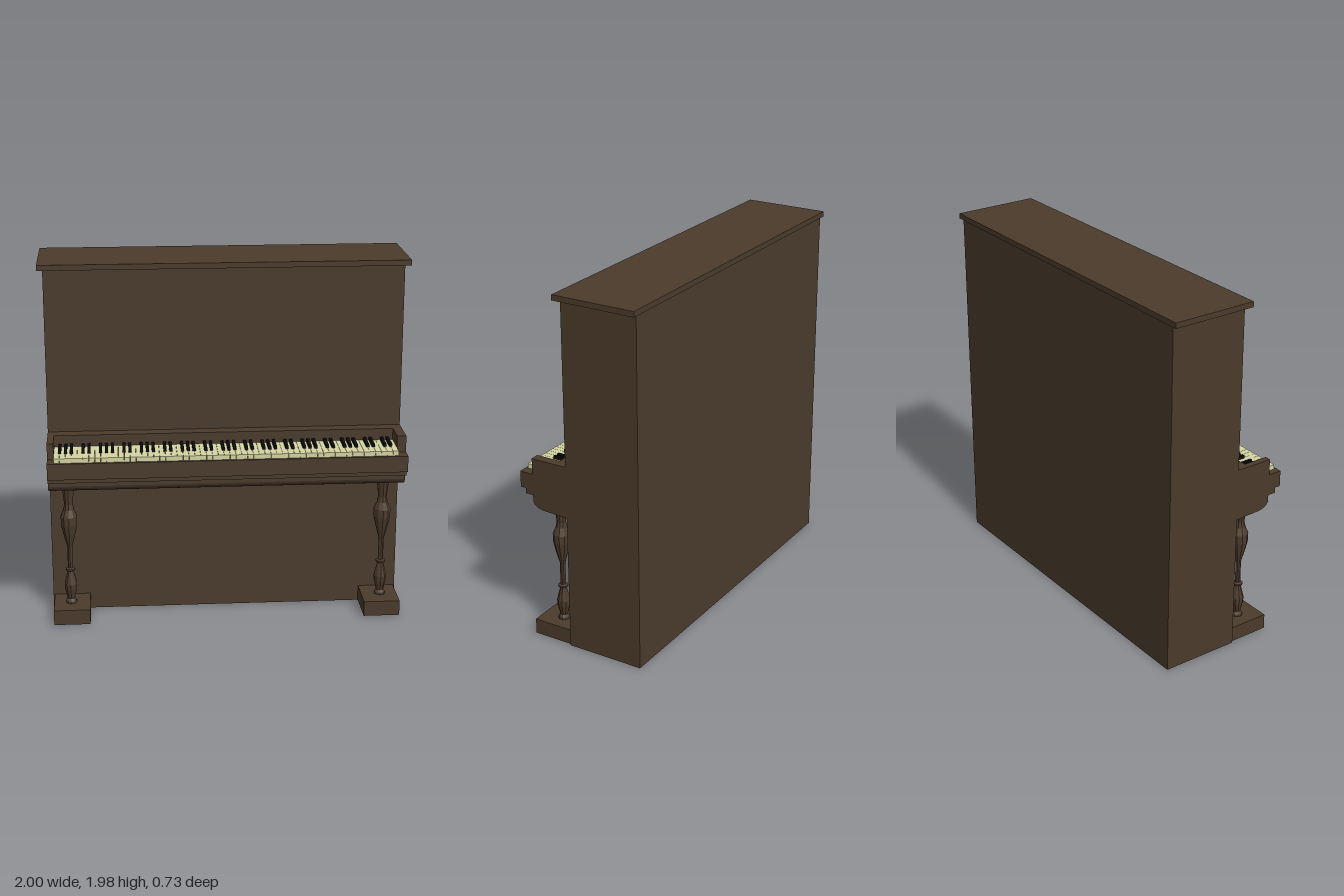
import * as THREE from 'three';

const wood = new THREE.MeshStandardMaterial({ color: 0x4b3b2c });
const ivory = new THREE.MeshStandardMaterial({ color: 0xd6d6a4 });
const ebony = new THREE.MeshStandardMaterial({ color: 0x0c0c0c });
const turned = new THREE.MeshStandardMaterial({ color: 0x4b3b2c, flatShading: true });

// Box given by its minimum and maximum on each axis
function box(name, material, [x0, x1], [y0, y1], [z0, z1]) {
  const mesh = new THREE.Mesh(new THREE.BoxGeometry(x1 - x0, y1 - y0, z1 - z0), material);
  mesh.position.set((x0 + x1) / 2, (y0 + y1) / 2, (z0 + z1) / 2);
  mesh.name = name;
  return mesh;
}

// Moulded shelf: side profile swept across the full width
function makeKeyBed() {
  const s = new THREE.Shape();
  s.moveTo(0.08, 0.76);
  s.lineTo(0.225, 0.765);
  s.bezierCurveTo(0.265, 0.77, 0.285, 0.782, 0.29, 0.805);
  s.lineTo(0.29, 0.84);
  s.lineTo(0.335, 0.84);
  s.lineTo(0.335, 0.87);
  s.lineTo(0.367, 0.87);
  s.lineTo(0.367, 0.96);
  s.lineTo(0.08, 0.96);
  s.closePath();
  const geo = new THREE.ExtrudeGeometry(s, { depth: 1.94, bevelEnabled: false, curveSegments: 6 });
  geo.rotateY(-Math.PI / 2).translate(0.97, 0, 0);
  const mesh = new THREE.Mesh(geo, wood);
  mesh.name = 'keyBed';
  return mesh;
}

// White keys side by side, black keys over the joints in groups of three and two
function makeKeyboard() {
  const keys = new THREE.Group();
  keys.name = 'keyboard';
  const left = -0.935, right = 0.92, count = 59, gap = 0.0006;
  const w = (right - left) / count;
  for (let i = 0; i < count; i++) {
    const x = left + i * w;
    keys.add(box('whiteKey', ivory, [x + gap, x + w - gap], [0.955, 0.986], [0.15, 0.353]));
    if (i < count - 1 && ![3, 6].includes(i % 7)) {
      keys.add(box('blackKey', ebony, [x + w - 0.008, x + w + 0.008], [0.975, 1.003], [0.15, 0.274]));
    }
  }
  return keys;
}

// Turned baluster leg
function makeLeg(side) {
  const profile = [
    [0, 0.08], [0.032, 0.08], [0.03, 0.1], [0.021, 0.115], [0.034, 0.17], [0.036, 0.2],
    [0.026, 0.24], [0.017, 0.275], [0.027, 0.281], [0.027, 0.291], [0.015, 0.297],
    [0.014, 0.42], [0.035, 0.5], [0.046, 0.55], [0.047, 0.6], [0.03, 0.64],
    [0.024, 0.67], [0.034, 0.765], [0, 0.765],
  ].map(([r, y]) => new THREE.Vector2(r, y));
  const leg = new THREE.Mesh(new THREE.LatheGeometry(profile, 10), turned);
  leg.position.set(side * 0.867, 0, 0.19);
  leg.name = side > 0 ? 'leftLeg' : 'rightLeg';
  return leg;
}

export function createModel() {
  const piano = new THREE.Group();
  piano.name = 'uprightPiano';

  // Case and lid
  piano.add(box('case', wood, [-0.97, 0.97], [0, 1.95], [-0.36, 0.08]));
  piano.add(box('lid', wood, [-1, 1], [1.95, 1.98], [-0.367, 0.11]));

  // Key bed, board behind the keys and end cheeks
  piano.add(makeKeyBed());
  piano.add(box('fallBoard', wood, [-0.935, 0.92], [0.96, 1.05], [0.08, 0.15]));
  piano.add(box('leftCheek', wood, [0.92, 0.97], [0.96, 1.05], [0.08, 0.29]));
  piano.add(box('rightCheek', wood, [-0.97, -0.935], [0.96, 1.05], [0.08, 0.29]));
  piano.add(makeKeyboard());

  // Legs on their toe blocks
  for (const side of [1, -1]) {
    piano.add(makeLeg(side));
    const toe = box('toeBlock', wood, [-0.1, 0.1], [0.003, 0.088], [0.08, 0.31]);
    toe.position.x = side * 0.862;
    piano.add(toe);
  }
  return piano;
}
